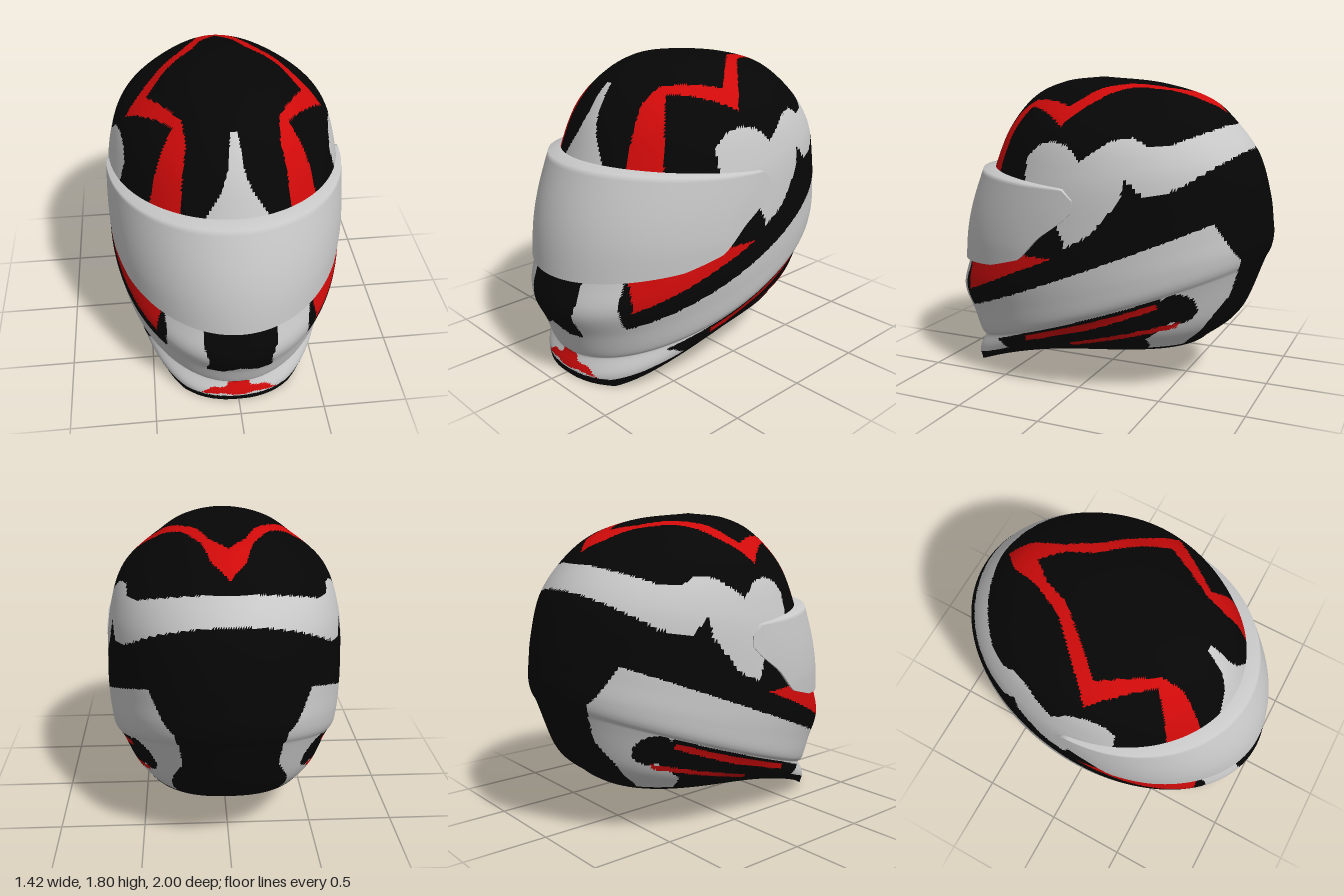
import * as THREE from 'three';

const mat = (name, color) => Object.assign(new THREE.MeshStandardMaterial({ color }), { name });

// Piecewise linear lookup in [[key, value], ...] with rising keys
function lookup(table, k) {
  const i = table.findIndex(e => e[0] >= k);
  if (i <= 0) return table.at(i)[1];
  const [k0, v0] = table[i - 1], [k1, v1] = table[i];
  return v0 + (v1 - v0) * (k - k0) / (k1 - k0);
}

function inside(poly, px, py) {
  let hit = false;
  for (let i = 0, j = poly.length - 1; i < poly.length; j = i++) {
    const [ax, ay] = poly[i], [bx, by] = poly[j];
    if ((ay > py) !== (by > py) && px < (bx - ax) * (py - ay) / (by - ay) + ax) hit = !hit;
  }
  return hit;
}

// Grid surface; paint(centre) picks the material group of each face
function surface(nu, nv, closed, point, paint, flip = false) {
  const cols = closed ? nu : nu + 1, pts = [], groups = [[], [], []];
  for (let j = 0; j <= nv; j++) for (let i = 0; i < cols; i++) pts.push(point(i, j));
  const centre = new THREE.Vector3();
  const face = (a, b, c) => {
    centre.copy(pts[a]).add(pts[b]).add(pts[c]).divideScalar(3);
    groups[paint(centre)].push(...(flip ? [a, c, b] : [a, b, c]));
  };
  for (let j = 0; j < nv; j++) for (let i = 0; i < nu; i++) {
    const a = j * cols + i, b = j * cols + (i + 1) % cols;
    face(a, b, b + cols);
    face(a, b + cols, a + cols);
  }
  const geo = new THREE.BufferGeometry().setFromPoints(pts);
  geo.setIndex(groups.flat());
  let start = 0;
  groups.forEach((g, m) => { if (g.length) geo.addGroup(start, g.length, m); start += g.length; });
  geo.computeVertexNormals();
  return geo;
}

// Shell rings, rim to crown: front end [half width, y, z] and back end [bend, y, z]
const curve = points => new THREE.CatmullRomCurve3(points.map(p => new THREE.Vector3(...p)));
const frontLine = curve([
  [0.53, -0.05, 0.87], [0.6, 0.04, 0.895], [0.655, 0.14, 0.86], [0.675, 0.155, 0.88],
  [0.697, 0.3, 0.935], [0.71, 0.46, 1], [0.708, 0.64, 0.955], [0.672, 1.2, 0.765],
  [0.585, 1.5, 0.645], [0.4, 1.69, 0.495], [0.25, 1.775, 0.3], [0, 1.805, 0.06],
]);
const backLine = curve([
  [3, 0.28, -0.64], [1.7, 0.47, -0.84], [1, 0.78, -0.965], [1, 0.82, -0.985],
  [1, 0.9, -1], [1, 1, -0.992], [1, 1.12, -0.975], [1, 1.36, -0.9],
  [1, 1.54, -0.77], [1, 1.67, -0.63], [1, 1.765, -0.33], [1, 1.805, 0.06],
]);
function shellRow(t) {
  const f = frontLine.getPoint(t), b = backLine.getPoint(t);
  // squarer towards the rim, slightly pinched at the crown
  const e = 1 - 0.2 * Math.max(0, 1 - t / 0.18) + 0.1 * THREE.MathUtils.smoothstep(t, 0.6, 0.85);
  const power = v => Math.sign(v) * Math.pow(Math.abs(v), e);
  return a => {
    const s = (1 + power(Math.cos(a))) / 2;
    const y = Math.max(0.005, b.y + (f.y - b.y) * Math.pow(s, b.x));
    return new THREE.Vector3(f.x * power(Math.sin(a)), y, b.z + (f.z - b.z) * s);
  };
}

const BLACK = 0, LIGHT = 1, RED = 2;

// Crown outline seen from above, |x| over z, and brow spike half width over y
const CROWN_OUTER = [[-0.72, 0], [-0.62, 0.09], [-0.44, 0.14], [-0.25, 0.24], [0.07, 0.56], [0.38, 0.31], [0.53, 0.46]];
const CROWN_INNER = [[-0.52, 0], [-0.4, 0.1], [-0.25, 0.16], [0.07, 0.44], [0.38, 0.26], [0.5, 0.25], [0.72, 0.32]];
const BROW_SPIKE = [[1.25, 0.18], [1.3, 0.15], [1.4, 0.085], [1.5, 0.045], [1.67, 0.02]];
// Wavy band from the visor pivot round the back: edges as y over z
const BAND_TOP = [[-0.76, 1.54], [-0.55, 1.45], [-0.45, 1.44], [-0.36, 1.49], [-0.25, 1.47],
  [-0.09, 1.36], [0, 1.44], [0.1, 1.46], [0.2, 1.43], [0.27, 1.36]];
const BAND_LOW = [[-0.91, 1.36], [-0.88, 1.41], [-0.6, 1.22], [-0.45, 1.18], [-0.34, 1.28], [-0.33, 1.17],
  [-0.17, 0.97], [-0.02, 0.89], [0.06, 1.1]];
// Lower side: back end of the light stripe as z over y, then shapes as (z, y)
const STRIPE_BACK = [[0.29, -0.57], [0.4, -0.69], [0.6, -0.83], [0.82, -0.9], [1.02, -0.785]];
const LOW_PANEL = [[0.55, 0.23], [0.3, 0.33], [-0.52, 0.62], [-0.6, 0.5], [-0.42, 0.36], [-0.42, 0.29],
  [-1, 0.29], [-1, 0], [1, 0], [1, 0.035], [0.8, 0.05], [0.62, 0.13], [0.45, 0.2]];
const CHEEK = [[0.76, 0.75], [0.765, 0.51], [0.3, 0.72], [0.06, 0.82], [0.25, 0.82]];
const STREAKS = [
  [[0.3, 0.315], [-0.15, 0.465], [-0.5, 0.59], [-0.5, 0.555], [-0.15, 0.42], [0.3, 0.28]],
  [[0.02, 0.305], [-0.6, 0.47], [-0.58, 0.435], [0.02, 0.28]],
];
// Chin, seen from the front as (|x|, y)
const CHIN_BLOCK = [[-0.1, 0.8], [0.21, 0.8], [0.21, 0.56], [0.18, 0.45], [0.19, 0.31], [0.1, 0.31], [0, 0.37], [-0.1, 0.31]];
const CHIN_LIP = [[-0.1, 0.16], [0.04, 0.16], [0.08, 0.1], [0.16, 0.095], [0.23, 0.05], [0.1, 0.06], [-0.1, 0.035]];

function paintShell(p) {
  const x = Math.abs(p.x), { y, z } = p;
  if (y > 1.15) {
    if (x >= lookup(CROWN_INNER, z) && x < lookup(CROWN_OUTER, z)) return RED;
    if (z > 0.4 && y < 1.67 && x < lookup(BROW_SPIKE, y)) return LIGHT;
  }
  if (z < 0.27 && y > lookup(BAND_LOW, z) && y < lookup(BAND_TOP, z)) return LIGHT;
  if (z > 0.3 && inside(CHIN_LIP, x, y)) return RED;
  if (z > 0.3 && inside(CHIN_BLOCK, x, y)) return BLACK;
  if ([...STREAKS, CHEEK].some(poly => inside(poly, z, y))) return RED;
  if (Math.hypot(z + 0.6, y - 0.555) < 0.09 || inside(LOW_PANEL, z, y)) return BLACK;
  const stripeTop = z > 0.5 && x < 0.41 ? 0.75 : 0.39 + (0.79 - z) * 0.41;
  return y < stripeTop && z > lookup(STRIPE_BACK, y) ? LIGHT : BLACK;
}

// Visor edges as y over depth
const VISOR_LOW = [[-0.07, 1.09], [0, 1.03], [0.15, 0.93], [0.28, 0.79], [0.5, 0.72], [0.93, 0.66]];
const VISOR_HIGH = [[-0.07, 1.15], [0, 1.21], [0.93, 1.26]];
function visorPoint(nu, nv) {
  const { clamp, lerp } = THREE.MathUtils;
  return (i, j) => {
    // the doubled first row and end columns keep those edges sharp, the top edge rolls over
    const u = clamp((i - 2) / (nu - 4), 0, 1), v = clamp((j - 2) / (nv - 3), 0, 1);
    const a = (u * 2 - 1) * 1.645, depth = 0.93 * Math.cos(a);
    const y = lerp(lookup(VISOR_LOW, depth), lookup(VISOR_HIGH, depth), v);
    // the outermost rows fold inwards to meet the shell
    const fold = i === 0 || j === 0 || i === nu || j === nv ? 0.9 : 1;
    const scale = fold * (1 + 0.035 * Math.sin(Math.PI * v) * Math.max(0, Math.cos(a)));
    const halfWidth = 0.718 - 0.055 * Math.max(0, y - 0.85), reach = 0.982 - 0.27 * (y - 0.66);
    return new THREE.Vector3(scale * halfWidth * Math.sin(a), y + (j === nv ? 0.012 : 0), scale * reach * Math.cos(a));
  };
}

export function createModel() {
  const helmet = new THREE.Group();
  helmet.name = 'helmet';
  const paints = [mat('black', 0x060606), mat('lightGrey', 0xc8c8c8), mat('red', 0xd00a0a)];
  const add = (name, geo) => {
    const mesh = new THREE.Mesh(geo, paints);
    mesh.name = name;
    helmet.add(mesh);
  };

  // Painted outer shell
  const nu = 320, nv = 150;
  const rows = Array.from({ length: nv + 1 }, (_, j) => shellRow(j / nv));
  add('shell', surface(nu, nv, true, (i, j) => rows[j](i / nu * Math.PI * 2), paintShell));

  // Inner lining, joined to the rim, with a light eye port behind the visor
  const lu = 144, lv = 80;
  const lining = (i, j) => {
    const p = shellRow(Math.max(0, j - 1) / (lv - 1))(i / lu * Math.PI * 2);
    return j === 0 ? p : p.set(p.x * 0.95, 0.8 + (p.y - 0.8) * 0.97, p.z * 0.95);
  };
  const paintLining = p => (p.z > 0.1 && p.y > 0.66 && p.y < 1.22 ? LIGHT : BLACK);
  add('lining', surface(lu, lv, true, lining, paintLining, true));

  // Wraparound visor
  add('visor', surface(96, 24, false, visorPoint(96, 24), () => LIGHT));

  return helmet;
}
